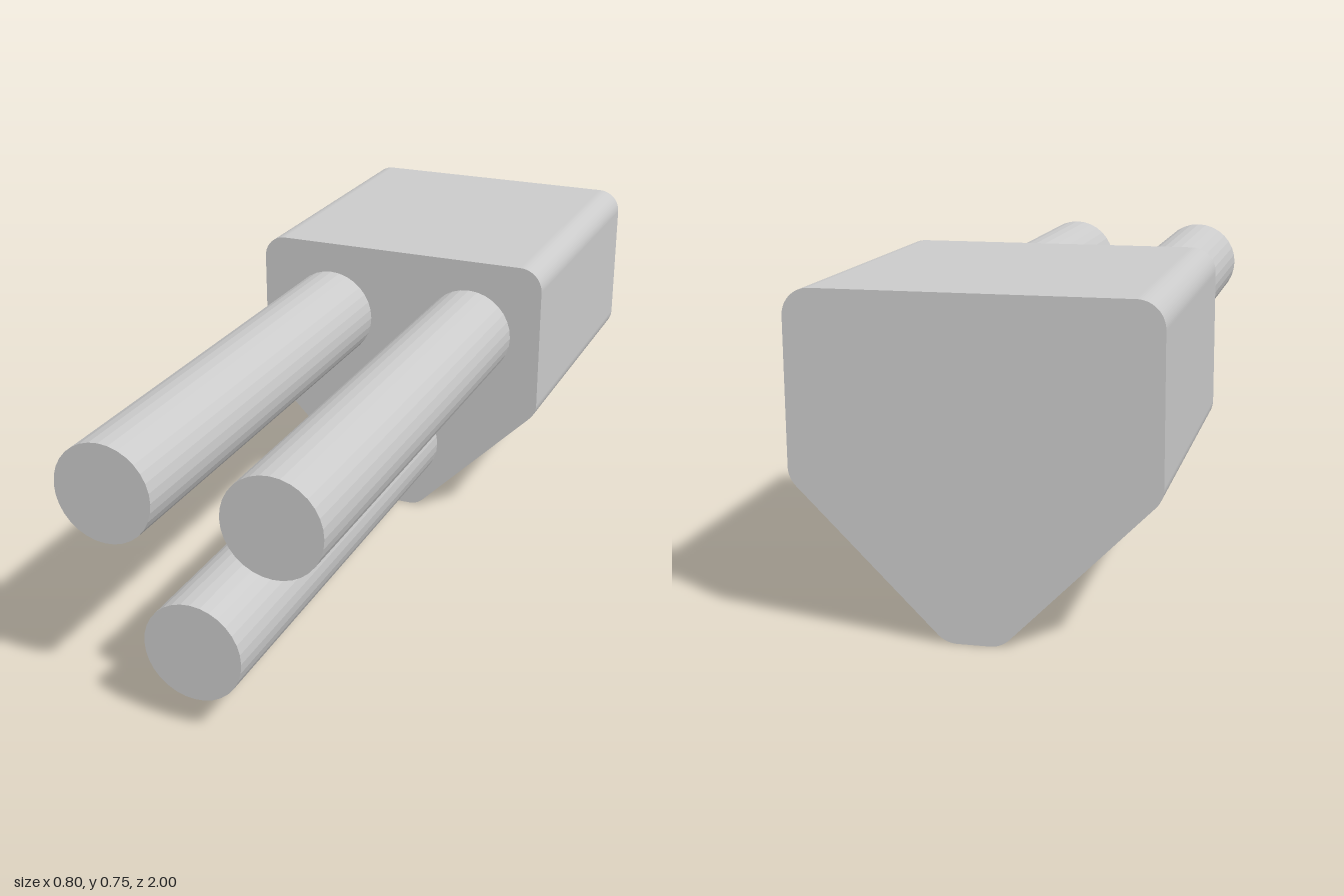
import * as THREE from 'three';

const material = new THREE.MeshStandardMaterial({ color: 0xcccccc, flatShading: true });

// Closed polygon shape with every corner rounded by a true arc of the given radius
function roundedPolygon(points, radius) {
  const shape = new THREE.Shape();
  points.forEach((p, i) => {
    const toPrev = points[(i + points.length - 1) % points.length].clone().sub(p).normalize();
    const toNext = points[(i + 1) % points.length].clone().sub(p).normalize();
    const half = Math.acos(toPrev.dot(toNext)) / 2;
    const start = p.clone().addScaledVector(toPrev, radius / Math.tan(half));
    const end = p.clone().addScaledVector(toNext, radius / Math.tan(half));
    const centre = toPrev.add(toNext).normalize().multiplyScalar(radius / Math.sin(half)).add(p);
    if (i === 0) shape.moveTo(start.x, start.y);
    else shape.lineTo(start.x, start.y);
    shape.absarc(centre.x, centre.y, radius,
      Math.atan2(start.y - centre.y, start.x - centre.x),
      Math.atan2(end.y - centre.y, end.x - centre.x), false);
  });
  shape.closePath();
  return shape;
}

export function createModel() {
  const model = new THREE.Group();
  model.name = 'threePinPlug';

  // Housing: square top tapering to a narrow base
  const corners = [[-0.06, 0], [0.06, 0], [0.4, 0.341], [0.4, 0.747], [-0.4, 0.747], [-0.4, 0.341]]
    .map(([x, y]) => new THREE.Vector2(x, y));
  const housing = new THREE.Mesh(
    new THREE.ExtrudeGeometry(roundedPolygon(corners, 0.06), { depth: 0.8, bevelEnabled: false, curveSegments: 12 }),
    material);
  housing.name = 'housing';
  housing.position.z = -1;
  model.add(housing);

  // Three round pins pointing forward
  const pinGeometry = new THREE.CylinderGeometry(0.119, 0.119, 1.2, 32).rotateX(Math.PI / 2);
  for (const [name, x, y] of [['leftPin', 0.2, 0.547], ['rightPin', -0.2, 0.547], ['lowerPin', 0, 0.2]]) {
    const pin = new THREE.Mesh(pinGeometry, material);
    pin.name = name;
    pin.position.set(x, y, 0.4);
    model.add(pin);
  }
  return model;
}
